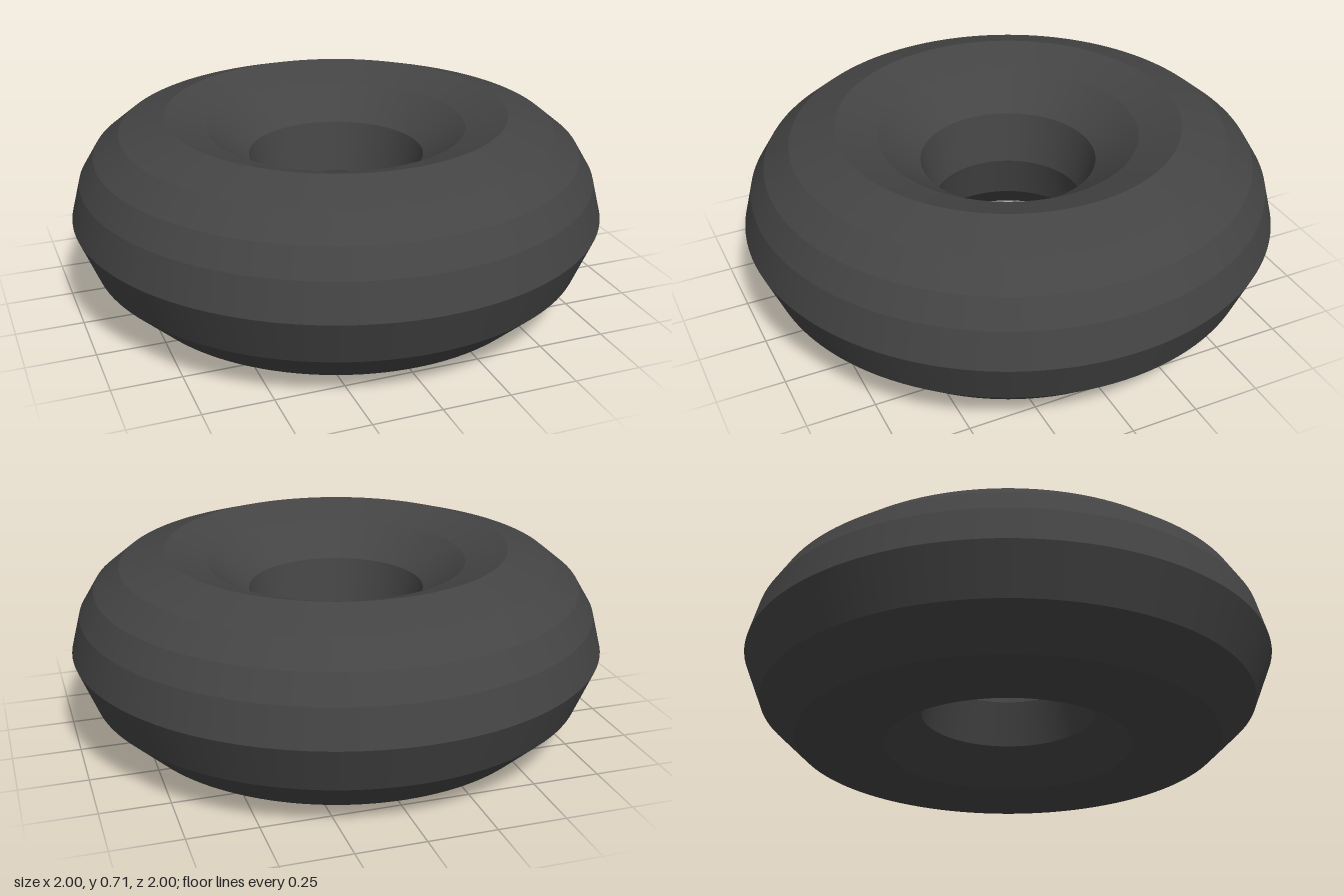
import * as THREE from 'three';
import { mergeGeometries } from 'three/addons/utils/BufferGeometryUtils.js';

const rubber = new THREE.MeshStandardMaterial({ color: 0x444444 });
rubber.name = 'dark rubber';

// Revolves a profile so each band is smooth around and creased against its neighbours
function bandedLathe(profile) {
  const bands = [];
  for (let i = 0; i < profile.length - 1; i++) {
    const pair = [profile[i], profile[i + 1]].map(([r, y]) => new THREE.Vector2(r, y));
    bands.push(new THREE.LatheGeometry(pair, 128));
  }
  return mergeGeometries(bands);
}

export function createModel() {
  const group = new THREE.Group();
  group.name = 'ring';
  const add = (name, profile) => {
    const mesh = new THREE.Mesh(bandedLathe(profile), rubber);
    mesh.name = name;
    group.add(mesh);
  };

  // Outer wall, from the base up to the top rim
  add('outerWall', [
    [0.64, 0], [0.795, 0.045], [0.93, 0.175], [1, 0.35],
    [0.965, 0.485], [0.908, 0.58], [0.81, 0.66], [0.64, 0.715],
  ]);
  // Dished top, from the rim down to the hole
  add('topDish', [[0.64, 0.715], [0.485, 0.66], [0.33, 0.546]]);
  // Hole wall, narrowest at mid height
  add('holeWall', [[0.33, 0.546], [0.287, 0.35], [0.33, 0.175]]);
  // Dished underside, back to the base
  add('bottomDish', [[0.33, 0.175], [0.464, 0.04], [0.64, 0]]);
  return group;
}
